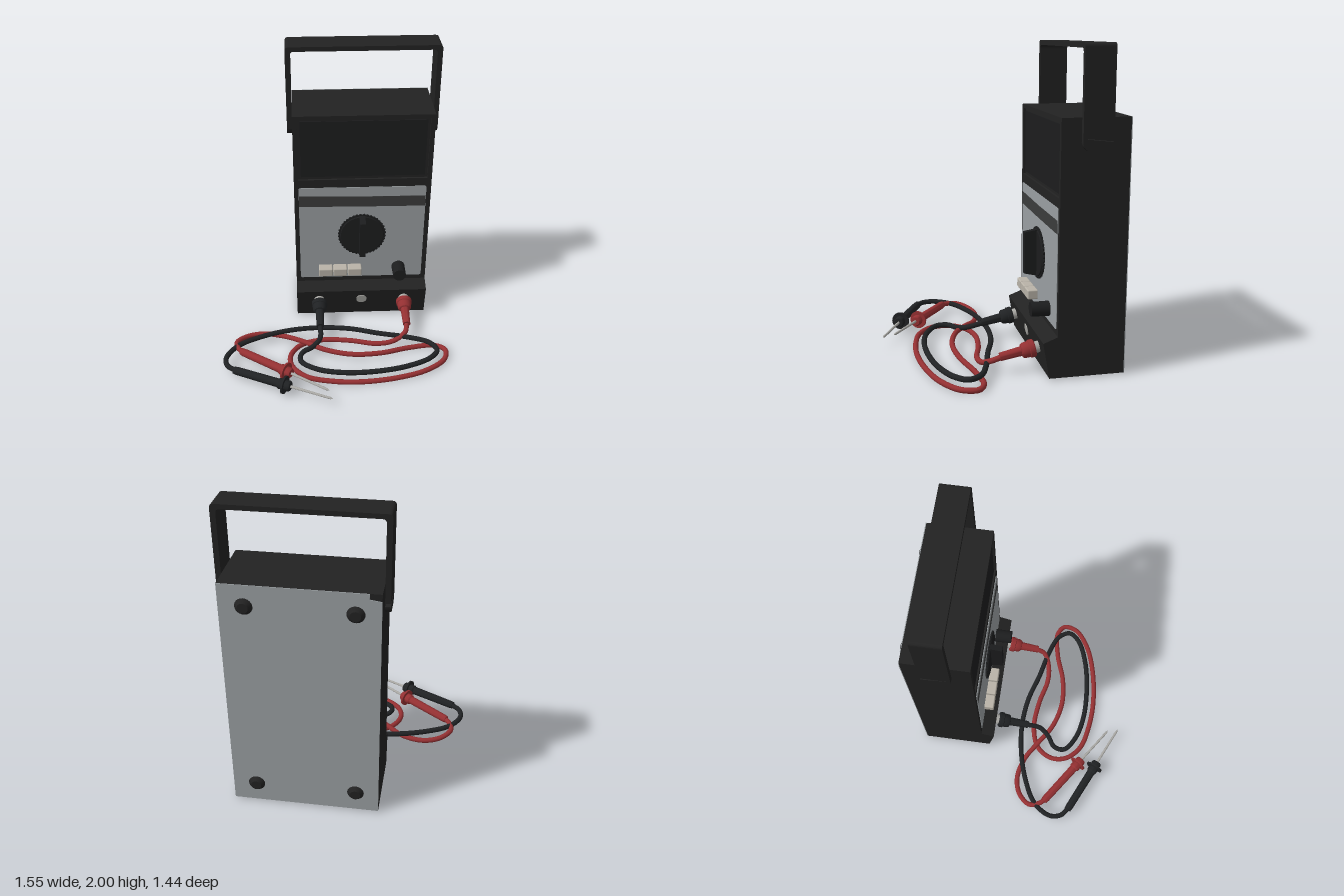
import * as THREE from 'three';
import { toCreasedNormals } from 'three/addons/utils/BufferGeometryUtils.js';
import { RoundedBoxGeometry } from 'three/addons/geometries/RoundedBoxGeometry.js';

const material = (name, color) => new THREE.MeshStandardMaterial({ name, color });
const CX = 0.195; // centre line of the case

function rectPath(Type, x0, y0, x1, y1, r = 0) {
  const p = new Type();
  p.moveTo(x0 + r, y0);
  p.lineTo(x1 - r, y0);
  if (r) p.absarc(x1 - r, y0 + r, r, -Math.PI / 2, 0, false);
  p.lineTo(x1, y1 - r);
  if (r) p.absarc(x1 - r, y1 - r, r, 0, Math.PI / 2, false);
  p.lineTo(x0 + r, y1);
  if (r) p.absarc(x0 + r, y1 - r, r, Math.PI / 2, Math.PI, false);
  p.lineTo(x0, y0 + r);
  if (r) p.absarc(x0 + r, y0 + r, r, Math.PI, Math.PI * 1.5, false);
  return p;
}

const polygon = (pts) => new THREE.Shape(pts.map(([x, y]) => new THREE.Vector2(x, y)));
const extrude = (shape, depth) =>
  new THREE.ExtrudeGeometry(shape, { depth, bevelEnabled: false, curveSegments: 8 });
// Extrudes a (z, y) profile across x, ending at x1
const extrudeX = (shape, x1, width) =>
  extrude(shape, width).rotateY(-Math.PI / 2).translate(x1, 0, 0);
const lathe = (pts, n = 24) =>
  toCreasedNormals(new THREE.LatheGeometry(pts.map(([r, y]) => new THREE.Vector2(r, y)), n), 0.6);
const cylinderZ = (rFront, rBack, depth, n = 32) =>
  new THREE.CylinderGeometry(rFront, rBack, depth, n).rotateX(Math.PI / 2);

export function createModel() {
  const model = new THREE.Group();
  model.name = 'meterWithLeads';
  const black = material('caseBlack', 0x222222);
  const dark = material('knobBlack', 0x1c1d1e);
  const grey = material('panelGrey', 0x9a9fa2);
  const band = material('bandGrey', 0x3b3c3c);
  const cream = material('buttonCream', 0xb9b3a8);
  const metal = material('metal', 0xaaa9a5);
  const red = material('leadRed', 0x943032);
  const lead = material('leadBlack', 0x202224);

  const add = (name, geo, mat, x = 0, y = 0, z = 0, parent = model) => {
    const m = new THREE.Mesh(geo, mat);
    m.name = name;
    m.position.set(x, y, z);
    parent.add(m);
    return m;
  };

  // Case with sloping socket ledge at its foot
  const profile = polygon([[-0.695, 0.01], [-0.225, 0.01], [-0.185, 0.235],
    [-0.275, 0.27], [-0.29, 0.27], [-0.29, 1.58], [-0.695, 1.58]]);
  add('case', extrudeX(profile, 0.66, 0.93), black);

  // Front plate with a recessed display window
  const front = rectPath(THREE.Shape, -0.27, 0.27, 0.66, 1.58);
  front.holes.push(rectPath(THREE.Path, -0.24, 1.11, 0.63, 1.555));
  add('frontPlate', extrude(front, 0.015), black, 0, 0, -0.29);
  add('displayWindow', extrude(rectPath(THREE.Shape, -0.222, 1.13, 0.612, 1.538), 0.006), dark, 0, 0, -0.29);

  // Control panel and its band
  add('controlPanel', extrude(rectPath(THREE.Shape, -0.24, 0.305, 0.628, 1.05, 0.015), 0.004), grey, 0, 0, -0.275);
  add('panelBand', extrude(polygon([[-0.238, 0.905], [0.2, 0.898], [0.626, 0.895],
    [0.626, 0.975], [0.2, 0.977], [-0.238, 0.988]]), 0.003), band, 0, 0, -0.2715);

  // Back plate with a notched upper corner, and four feet
  add('backPlate', extrude(polygon([[-0.27, 0.01], [0.66, 0.01], [0.66, 1.58],
    [-0.2, 1.58], [-0.2, 1.545], [-0.27, 1.535]]), 0.005), grey, 0, 0, -0.7);
  for (const x of [-0.125, 0.51]) for (const y of [0.145, 1.445]) {
    add('foot', cylinderZ(0.053, 0.032, 0.025, 24), black, x, y, -0.7125);
  }

  // Carrying handle: inverted U with rounded leg ends
  const [hx0, hx1, legT, join] = [-0.305, 0.695, 0.033, 1.46];
  const u = new THREE.Shape();
  u.moveTo(hx0, join);
  u.lineTo(hx0 + legT, join);
  u.lineTo(hx0 + legT, 1.945);
  u.quadraticCurveTo(hx0 + legT, 1.97, hx0 + legT + 0.025, 1.97);
  u.lineTo(hx1 - legT - 0.025, 1.97);
  u.quadraticCurveTo(hx1 - legT, 1.97, hx1 - legT, 1.945);
  u.lineTo(hx1 - legT, join);
  u.lineTo(hx1, join);
  u.lineTo(hx1, 1.975);
  u.quadraticCurveTo(hx1, 2, hx1 - 0.025, 2);
  u.lineTo(hx0 + 0.025, 2);
  u.quadraticCurveTo(hx0, 2, hx0, 1.975);
  u.closePath();
  add('handle', extrude(u, 0.185), black, 0, 0, -0.58);
  const legEnd = new THREE.Shape();
  legEnd.moveTo(-0.58, join);
  legEnd.absarc(-0.525, 1.44, 0.055, Math.PI, Math.PI * 1.5, false);
  legEnd.absarc(-0.45, 1.44, 0.055, Math.PI * 1.5, Math.PI * 2, false);
  legEnd.lineTo(-0.395, join);
  for (const x of [hx0 + legT, hx1]) add('handleLegEnd', extrudeX(legEnd, x, legT), black);

  // Selector dial: notched disc with a grip bar
  const rim = [];
  for (let i = 0; i < 80; i++) {
    const a = (i / 80) * Math.PI * 2, r = i % 2 ? 0.168 : 0.16;
    rim.push([r * Math.cos(a), r * Math.sin(a)]);
  }
  add('dialDisc', extrude(polygon(rim), 0.012), dark, CX, 0.67, -0.272);
  add('dialFace', cylinderZ(0.148, 0.153, 0.006, 40), dark, CX, 0.67, -0.257);
  add('dialGrip', extrudeX(polygon([[-0.26, 0.52], [-0.175, 0.54], [-0.175, 0.81], [-0.26, 0.825]]),
    CX + 0.02, 0.04), dark);

  // Push buttons and small knob
  for (let i = 0; i < 3; i++) {
    add('button', new RoundedBoxGeometry(0.098, 0.062, 0.07, 2, 0.008), cream, -0.061 + i * 0.103, 0.385, -0.24);
  }
  add('smallKnob', cylinderZ(0.045, 0.047, 0.117, 24), dark, 0.46, 0.385, -0.2135);

  // Round stud on the sloping ledge
  add('ledgeStud', cylinderZ(0.037, 0.037, 0.008), metal, CX, 0.155, -0.198).rotation.x = 0.176;

  // Plug, cable and probe of one test lead
  function testLead(name, mat, x, path, start, guard) {
    const g = new THREE.Group();
    g.name = name;
    model.add(g);

    const plug = new THREE.Group();
    plug.name = 'plug';
    plug.position.set(x, 0.157, -0.2);
    plug.rotation.x = 0.2;
    g.add(plug);
    add('socket', cylinderZ(0.036, 0.036, 0.05, 24), metal, 0, 0, 0.015, plug);
    add('plugSleeve', lathe([[0, 0.028], [0.05, 0.028], [0.056, 0.034], [0.056, 0.062], [0.05, 0.066],
      [0.048, 0.1], [0.04, 0.112], [0.03, 0.115], [0.026, 0.25], [0, 0.25]]).rotateX(Math.PI / 2), mat, 0, 0, 0, plug);

    const curve = new THREE.CatmullRomCurve3(path.map(([px, py, pz]) => new THREE.Vector3(px, py, pz)));
    add('cable', new THREE.TubeGeometry(curve, 240, 0.0175, 12), mat, 0, 0, 0, g);

    const probe = new THREE.Group();
    probe.name = 'probe';
    probe.position.set(...start);
    const dir = new THREE.Vector3(...guard).sub(probe.position).normalize();
    probe.quaternion.setFromUnitVectors(new THREE.Vector3(0, 1, 0), dir);
    g.add(probe);
    add('probeGrip', lathe([[0, -0.005], [0.024, -0.005], [0.027, 0.02], [0.029, 0.32], [0.036, 0.33],
      [0.036, 0.4], [0.03, 0.41], [0, 0.412]]), mat, 0, 0, 0, probe);
    add('fingerGuard', new THREE.CylinderGeometry(0.06, 0.06, 0.013, 28), mat, 0, 0.368, 0, probe);
    add('needle', lathe([[0.009, 0.4], [0.008, 0.69], [0, 0.71]], 12), metal, 0, 0, 0, probe);
  }

  testLead('redLead', red, 0.5, [
    [0.5, 0.107, 0.03], [0.485, 0.08, 0.095], [0.4, 0.04, 0.14], [0.28, 0.025, 0.148], [0.1, 0.022, 0.105],
    [-0.1, 0.022, 0.09], [-0.25, 0.022, 0.14], [-0.32, 0.025, 0.25], [-0.305, 0.025, 0.36], [-0.21, 0.022, 0.455],
    [-0.05, 0.02, 0.5], [0.15, 0.02, 0.515], [0.4, 0.02, 0.485], [0.6, 0.02, 0.42], [0.73, 0.02, 0.32],
    [0.75, 0.02, 0.225], [0.68, 0.02, 0.178], [0.5, 0.025, 0.2], [0.3, 0.04, 0.262], [0.1, 0.05, 0.278],
    [-0.08, 0.055, 0.23], [-0.22, 0.05, 0.14], [-0.35, 0.03, 0.055], [-0.5, 0.03, 0.018], [-0.62, 0.04, 0.05],
    [-0.692, 0.055, 0.13], [-0.675, 0.063, 0.205], [-0.64, 0.066, 0.245],
  ], [-0.65, 0.066, 0.238], [-0.35, 0.073, 0.448]);

  testLead('blackLead', lead, -0.11, [
    [-0.11, 0.107, 0.03], [-0.115, 0.08, 0.14], [-0.165, 0.065, 0.205], [-0.24, 0.06, 0.26], [-0.25, 0.055, 0.335],
    [-0.15, 0.05, 0.41], [0, 0.05, 0.45], [0.2, 0.05, 0.456], [0.45, 0.055, 0.42], [0.63, 0.06, 0.345],
    [0.685, 0.06, 0.27], [0.64, 0.06, 0.19], [0.5, 0.06, 0.13], [0.3, 0.06, 0.08], [0.1, 0.058, 0.02],
    [-0.1, 0.058, 0], [-0.3, 0.062, 0.02], [-0.5, 0.062, 0.075], [-0.68, 0.06, 0.17], [-0.755, 0.06, 0.29],
    [-0.74, 0.062, 0.37], [-0.68, 0.064, 0.42],
  ], [-0.69, 0.064, 0.416], [-0.355, 0.07, 0.573]);

  return model;
}
